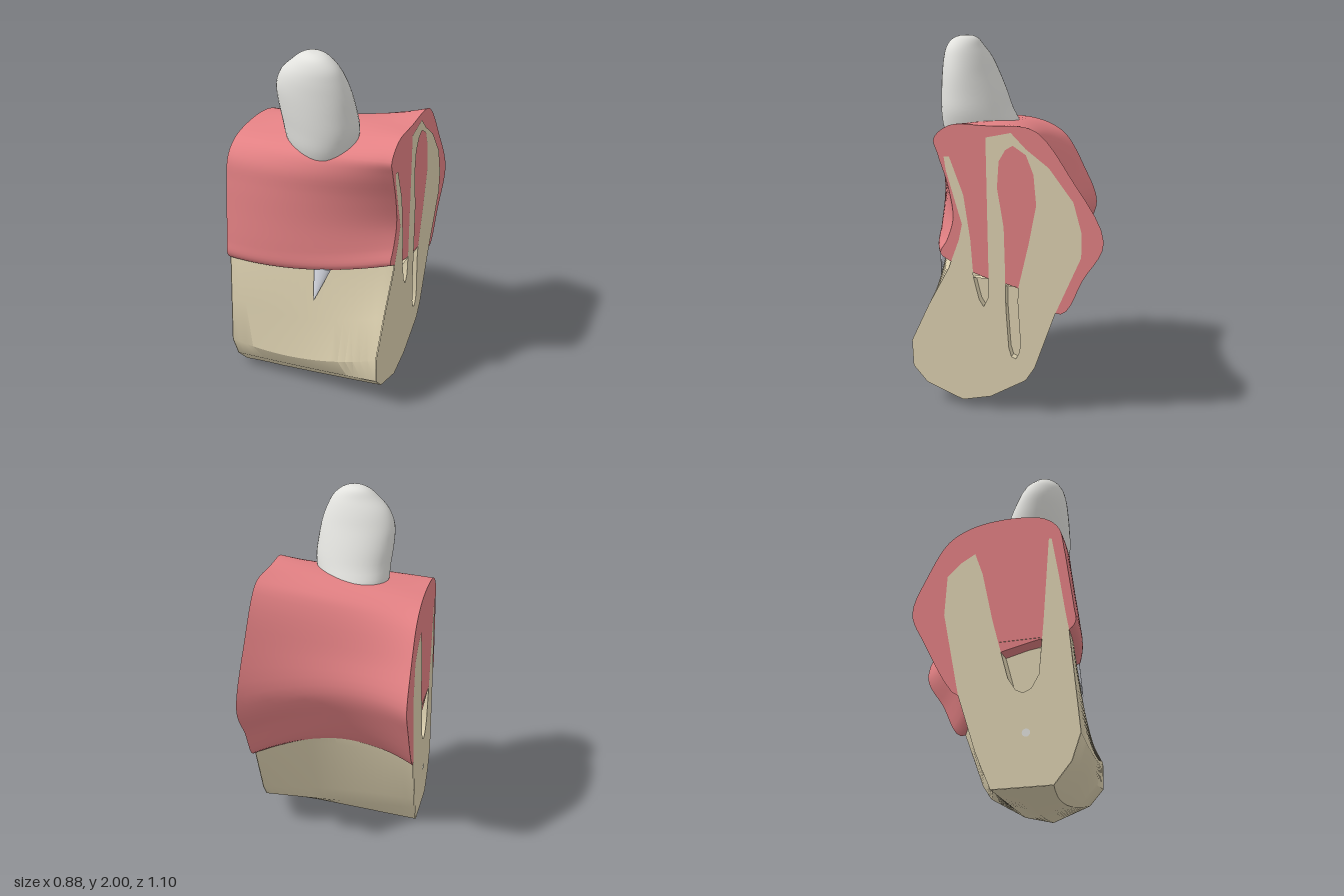
import * as THREE from 'three';
import { toCreasedNormals } from 'three/addons/utils/BufferGeometryUtils.js';

const W = 0.435; // half width of the jaw slice
const std = (name, color, side = THREE.FrontSide) => {
  const m = new THREE.MeshStandardMaterial({ color, side });
  m.name = name;
  return m;
};

// Skin a list of closed rings (arrays of Vector3)
function skin(rows) {
  const n = rows[0].length, pos = [], idx = [];
  rows.forEach(r => r.forEach(p => pos.push(p.x, p.y, p.z)));
  for (let i = 0; i < rows.length - 1; i++) {
    for (let j = 0; j < n; j++) {
      const k = (j + 1) % n, a = i * n + j, b = i * n + k, c = a + n, d = b + n;
      idx.push(a, c, b, b, c, d);
    }
  }
  const g = new THREE.BufferGeometry();
  g.setAttribute('position', new THREE.Float32BufferAttribute(pos, 3));
  g.setIndex(idx);
  g.computeVertexNormals();
  return g;
}

// Cross-section (z, y) at t = -1..1, a quadratic blend of three sections, flat at the base
const blend = (s, t) => s[1].map((m, i) => {
  const [z, y] = m.map((v, k) => {
    const a = s[0][i][k], b = s[2][i][k];
    return v + t * (b - a) / 2 + t * t * ((a + b) / 2 - v);
  });
  return [z, Math.max(0, y)];
});

// Round off a closed section
function smooth(pts, per = 5) {
  const c = new THREE.CatmullRomCurve3(pts.map(([z, y]) => new THREE.Vector3(0, y, z)), true);
  const n = pts.length * per;
  return Array.from({ length: n }, (_, j) => {
    const p = c.getPoint(j / n);
    return [p.z, p.y];
  });
}

const ring = (pts, x) => pts.map(([z, y]) => new THREE.Vector3(x, y, z));

function loft(sections, shape, steps = 20) {
  const rows = [];
  for (let i = 0; i <= steps; i++) {
    const t = -1 + 2 * i / steps;
    rows.push(ring(shape(blend(sections, t)), t * W));
  }
  return skin(rows);
}

// Flat section face looking out on side s
function endFace(pts, s, x, hole = null) {
  const v = list => list.map(([z, y]) => new THREE.Vector2(-s * z, y));
  const shape = new THREE.Shape(v(pts));
  if (hole) shape.holes.push(new THREE.Path(v(hole)));
  return new THREE.ShapeGeometry(shape).translate(0, 0, x).rotateY(s * Math.PI / 2);
}

// Sections listed as [z, y] for the right end, the middle and the left end
const gumSections = [
  [[.50, .79], [.545, .84], [.54, .92], [.52, 1.1], [.50, 1.27], [.475, 1.4], [.40, 1.47], [.25, 1.5], [.05, 1.49],
    [-.07, 1.45], [-.15, 1.39], [-.25, 1.22], [-.335, 1.0], [-.27, .83], [-.07, .5], [0, .65], [.3, .75]],
  [[.45, .80], [.495, .84], [.487, .93], [.465, 1.1], [.455, 1.27], [.45, 1.4], [.405, 1.485], [.25, 1.53], [.05, 1.54],
    [-.08, 1.49], [-.13, 1.42], [-.2, 1.22], [-.27, 1.02], [-.225, .85], [-.1, .625], [0, .7], [.2, .78]],
  [[.28, .84], [.335, .88], [.295, .96], [.26, 1.08], [.285, 1.25], [.34, 1.42], [.36, 1.5], [.27, 1.575], [.08, 1.58],
    [-.14, 1.58], [-.22, 1.54], [-.37, 1.34], [-.55, 1.01], [-.445, .8], [-.33, .6], [-.1, .72], [.1, .77]],
];
const boneSections = [
  [[.45, 1.0], [.51, .8], [.53, .53], [.55, .25], [.5, .11], [.41, 0], [.25, 0], [.1, .0], [.05, .12], [.02, .2],
    [-.07, .5], [-.12, .75], [-.1, 1.0]],
  [[.38, 1.0], [.45, .8], [.5, .5], [.545, .25], [.5, .15], [.38, .02], [.22, 0], [.08, .04], [-.02, .14], [-.06, .25],
    [-.12, .6], [-.16, .8], [-.1, 1.0]],
  [[.2, 1.0], [.29, .8], [.41, .58], [.515, .36], [.51, .21], [.43, .12], [.22, .04], [.06, .08], [-.14, .2], [-.19, .28],
    [-.3, .6], [-.4, .85], [-.3, 1.1]],
];

// Cut bone faces: lower outline from the sections, upper outline with sockets
const leftBone = [
  ...boneSections[2].slice(1, 11),
  [-.435, .92], [-.435, 1.05], [-.39, 1.21], [-.26, 1.38], [-.14, 1.47], [-.06, 1.55], [.075, 1.52],
  [.065, .76], [.07, .65], [.095, .6], [.12, .64], [.15, .76], [.165, .97], [.2, 1.21], [.275, 1.41],
  [.305, 1.41], [.295, 1.34], [.24, 1.15], [.21, 1.05], [.23, .96],
];
const leftSlot = [
  [-.07, 1.485], [-.03, 1.46], [.005, 1.4], [.015, 1.26], [-.02, 1.05], [-.025, .86], [-.03, .6], [-.045, .38], [-.06, .33],
  [-.085, .32], [-.105, .36], [-.11, .42], [-.095, .65], [-.1, .73], [-.155, .97], [-.195, 1.18], [-.18, 1.34], [-.14, 1.44],
];
const rightBone = [
  ...boneSections[0].slice(1, 11),
  [-.154, .965], [-.14, 1.19], [-.07, 1.26], [.014, 1.31],
  [.056, 1.18], [.11, .9], [.19, .565], [.23, .5], [.267, .48], [.31, .5], [.35, .57], [.38, .855], [.42, 1.34],
  [.435, 1.34], [.47, 1.1], [.495, .9],
];

// Root sockets sunk into the bone: side, outline
const sockets = [
  [1, [[.15, .76], [.12, .64], [.095, .6], [.07, .65], [.065, .76]]],
  [1, [[-.028, .73], ...leftSlot.slice(6, 14)]],
  [-1, [[.14, .77], ...rightBone.slice(16, 21), [.37, .77]]],
];

// Crown levels: y, min x, max x, min z, max z
const crownLevels = [
  [1.4, -.17, .17, .06, .4], [1.5, -.205, .2, .035, .434], [1.6, -.212, .22, .08, .443], [1.7, -.222, .212, .12, .445],
  [1.8, -.22, .195, .165, .442], [1.88, -.185, .168, .2, .435], [1.94, -.125, .135, .235, .42], [1.98, -.075, .088, .26, .395],
  [1.997, -.035, .045, .29, .36], [2.0, -.001, .001, .325, .327],
];

function crownGeometry() {
  const n = 40;
  const path = k => new THREE.CatmullRomCurve3(crownLevels.map(l => new THREE.Vector3(l[0], l[k], l[k + 1])));
  const px = path(1), pz = path(3), rows = [];
  for (let i = 0; i <= 36; i++) {
    const a = px.getPoint(i / 36), b = pz.getPoint(i / 36);
    const cz = (b.y + b.z) / 2, row = [];
    for (let j = 0; j < n; j++) {
      const t = j / n * Math.PI * 2, dz = Math.sin(t) * (b.z - b.y) / 2;
      // the back leans towards the right side
      const x = (a.y + a.z) / 2 + Math.cos(t) * (a.z - a.y) / 2 + dz * .25;
      row.push(new THREE.Vector3(x, a.x, cz + dz));
    }
    rows.push(row);
  }
  return skin(rows);
}

export function createModel() {
  const group = new THREE.Group();
  const gum = std('gum pink', 0xe58285, THREE.DoubleSide);
  const bone = std('bone tan', 0xdfd3b2, THREE.DoubleSide);
  const enamel = std('enamel white', 0xe2e2de);
  const rootWhite = std('root white', 0xd8dbe4);
  const add = (name, geo, mat) => {
    const m = new THREE.Mesh(geo, mat);
    m.name = name;
    group.add(m);
    return m;
  };

  // Gum and its cut ends
  add('gum', loft(gumSections, p => smooth(p)), gum);
  add('gumEndLeft', endFace(smooth(gumSections[2]), 1, W), gum);
  add('gumEndRight', endFace(smooth(gumSections[0]), -1, W), gum);

  // Jaw bone and its cut ends
  add('jawBone', toCreasedNormals(loft(boneSections, p => [...p].reverse()), 0.5), bone);
  add('boneEndLeft', endFace(leftBone, 1, W + .003, leftSlot), bone);
  add('boneEndRight', endFace(rightBone, -1, W + .003), bone);

  // Socket walls and floors
  for (const [s, pts] of sockets) {
    const depth = s > 0 ? .04 : .12;
    add('socketWall', toCreasedNormals(skin([ring(pts, s * (W + .003)), ring(pts, s * (W - depth))]), 0.8), bone);
    add('socketFloor', endFace(pts, s, W - depth), bone);
  }

  // Nerve canal on the right end
  const canal = add('nerveCanal', new THREE.CircleGeometry(.021, 16), enamel);
  canal.rotation.y = -Math.PI / 2;
  canal.position.set(-W - .006, .27, .28);

  // Tooth crown and the root tip showing through the bone
  add('toothCrown', crownGeometry(), enamel);
  const root = new THREE.ConeGeometry(.05, .22, 16);
  root.rotateX(Math.PI).scale(1, 1, .45).rotateZ(-.17).rotateX(-.2);
  add('toothRoot', root, rootWhite).position.set(.07, .727, .463);

  return group;
}
